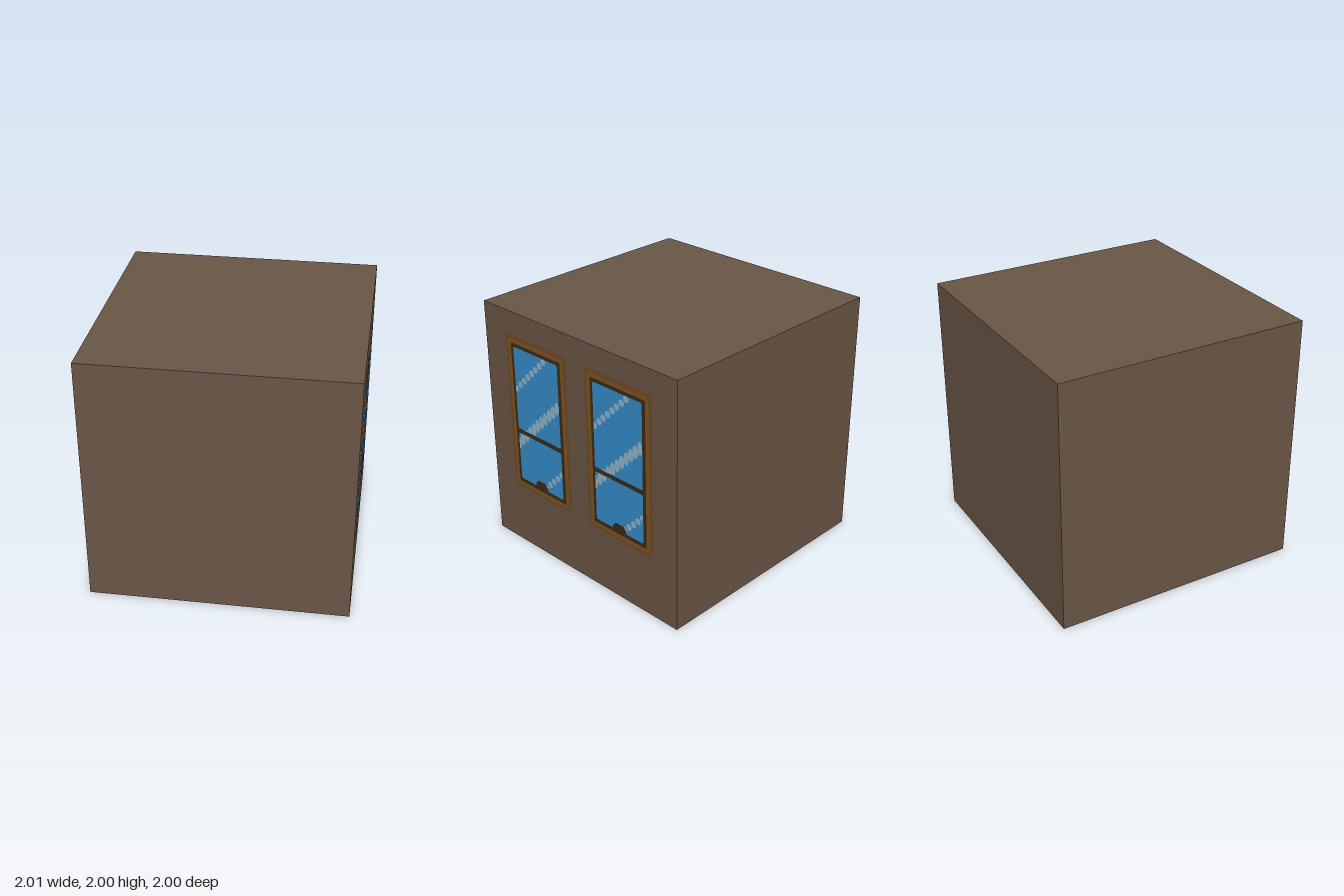
import * as THREE from 'three';
import { ConvexGeometry } from 'three/addons/geometries/ConvexGeometry.js';

const mat = (name, color) => new THREE.MeshStandardMaterial({ name, color });

// Points where the cracks meet or cross the cube's edges
const P = {
  // cube corners: (l)eft-hand -x / (r) +x, (b)ottom / (t)op, (k) back / (f) front
  lbk: [-1, 0, -1], lbf: [-1, 0, 1], ltk: [-1, 2, -1], ltf: [-1, 2, 1],
  rbk: [1, 0, -1], rbf: [1, 0, 1], rtk: [1, 2, -1], rtf: [1, 2, 1],
  // front face
  f1: [-1, 0.21, 1], f2: [-0.12, 0.985, 1], f3: [0.09, 1.08, 1], f4: [0.455, 0.86, 1],
  f5: [0.045, 2, 1], f6: [0.555, 2, 1], f7: [1, 0.715, 1], f8: [0.545, 0, 1],
  // +x face
  r1: [1, 1.245, 0.4], r2: [1, 0.945, -0.085], r3: [1, 2, 0.68], r4: [1, 0, 0.42], r5: [1, 0.935, -1],
  // top face
  t1: [-0.73, 2, 0.175], t2: [-1, 2, 0.135], t3: [0.475, 2, -1],
  // -x face
  l1: [-1, 1.36, 0.015], l2: [-1, 0, 0.237], l3: [-1, 0, -0.94],
  // bottom face and back edge
  b1: [-0.01, 0, 0.31], b2: [-0.7, 0, 0.07], b3: [-0.68, 0, -1], b4: [-0.95, 0, -1],
};

// Convex chunks of the cracked block
const CHUNKS = {
  frontCornerChunk: 'ltf f1 f2 f5 t1 t2 l1 l2',
  mainChunk: 'f5 f2 f3 f6 r3 r1 r2 r5 rtk t1 t3 l1 l2 l3 b2 b3 b4',
  topCornerChunk: 'rtf f6 f3 f4 f7 r1 r3',
  lowerFrontChunk: 'lbf f1 f2 f3 f4 f8 b1 b2 l2',
  lowerCornerChunk: 'rbf f4 f7 f8 r1 r2 r4 b1',
  lowerBackChunk: 'rbk r2 r4 r5 b1 b2 b3',
  backChunk: 'ltk lbk t1 t2 t3 l1 l3 b4',
};

// Rectangle with clipped corners
function plate(u0, u1, v0, v1, c) {
  return new THREE.ShapeGeometry(new THREE.Shape([
    [u0 + c, v0], [u1 - c, v0], [u1, v0 + c], [u1, v1 - c],
    [u1 - c, v1], [u0 + c, v1], [u0, v1 - c], [u0, v0 + c],
  ].map(([x, y]) => new THREE.Vector2(x, y))));
}

// Octagonal spot trimmed to a pane [u0, u1, v0, v1]
function spot(u, v, rx, ry, pane) {
  const g = new THREE.CircleGeometry(1, 8, Math.PI / 8);
  g.scale(rx, ry, 1).translate(u, v, 0);
  const p = g.attributes.position;
  for (let i = 0; i < p.count; i++) {
    p.setXY(i, THREE.MathUtils.clamp(p.getX(i), pane[0], pane[1]),
      THREE.MathUtils.clamp(p.getY(i), pane[2], pane[3]));
  }
  return g;
}

function createWindow(m) {
  const win = new THREE.Group();
  const add = (name, geo, material, layer) => {
    const mesh = new THREE.Mesh(geo, material);
    mesh.name = name;
    mesh.position.z = layer * 0.0012;
    win.add(mesh);
  };
  const upper = [-0.247, 0.243, -0.12, 0.565];
  const lower = [-0.247, 0.243, -0.565, -0.158];

  // nested frame layers
  add('outerTrim', plate(-0.335, 0.335, -0.656, 0.656, 0.025), m.trim, 1);
  add('frame', plate(-0.308, 0.308, -0.628, 0.624, 0.025), m.frame, 2);
  add('sash', plate(-0.273, 0.273, -0.597, 0.592, 0.008), m.sash, 3);
  add('upperPane', plate(...upper, 0.01), m.glass, 4);
  add('lowerPane', plate(...lower, 0.01), m.glass, 4);

  // diagonal glints: start, number of spots, spot size, pane
  const glints = [
    [-0.235, 0.222, 8, 0.028, 0.028, upper],
    [-0.245, -0.248, 11, 0.028, 0.055, upper],
    [-0.245, -0.248, 11, 0.028, 0.055, lower],
    [0.052, -0.535, 5, 0.028, 0.028, lower],
  ];
  for (const [u, v, n, rx, ry, pane] of glints) {
    for (let i = 0; i < n; i++) {
      const cu = u + i * 0.0467, cv = v + i * 0.0455;
      if (cv + ry * 0.9 < pane[2] || cv - ry * 0.9 > pane[3]) continue;
      add('glint', spot(cu, cv, rx, ry, pane), m.glint, 5);
    }
  }

  // lift handle on the lower rail
  add('handle', new THREE.ShapeGeometry(new THREE.Shape([
    [-0.07, -0.58], [0.07, -0.58], [0.07, -0.54], [0.04, -0.508], [-0.04, -0.508], [-0.07, -0.54],
  ].map(([x, y]) => new THREE.Vector2(x, y)))), m.sash, 6);
  return win;
}

export function createModel() {
  const model = new THREE.Group();
  model.name = 'crackedWallBlock';
  const wall = mat('wall brown', 0x6a5646);
  const m = {
    trim: mat('outer trim brown', 0x6e4b26),
    frame: mat('frame brown', 0x80531f),
    sash: mat('dark sash', 0x3b2a12),
    glass: mat('blue glass', 0x348ccc),
    glint: mat('pale glint', 0x92b6c9),
  };

  // wall chunks
  for (const [name, keys] of Object.entries(CHUNKS)) {
    const pts = keys.split(' ').map((k) => new THREE.Vector3(...P[k]));
    const mesh = new THREE.Mesh(new ConvexGeometry(pts), wall);
    mesh.name = name;
    model.add(mesh);
  }

  // two windows on the +x side
  for (const z of [0.431, -0.431]) {
    const win = createWindow(m);
    win.name = z > 0 ? 'frontWindow' : 'backWindow';
    win.rotation.y = Math.PI / 2;
    win.position.set(1, 1.159, z);
    model.add(win);
  }
  return model;
}
